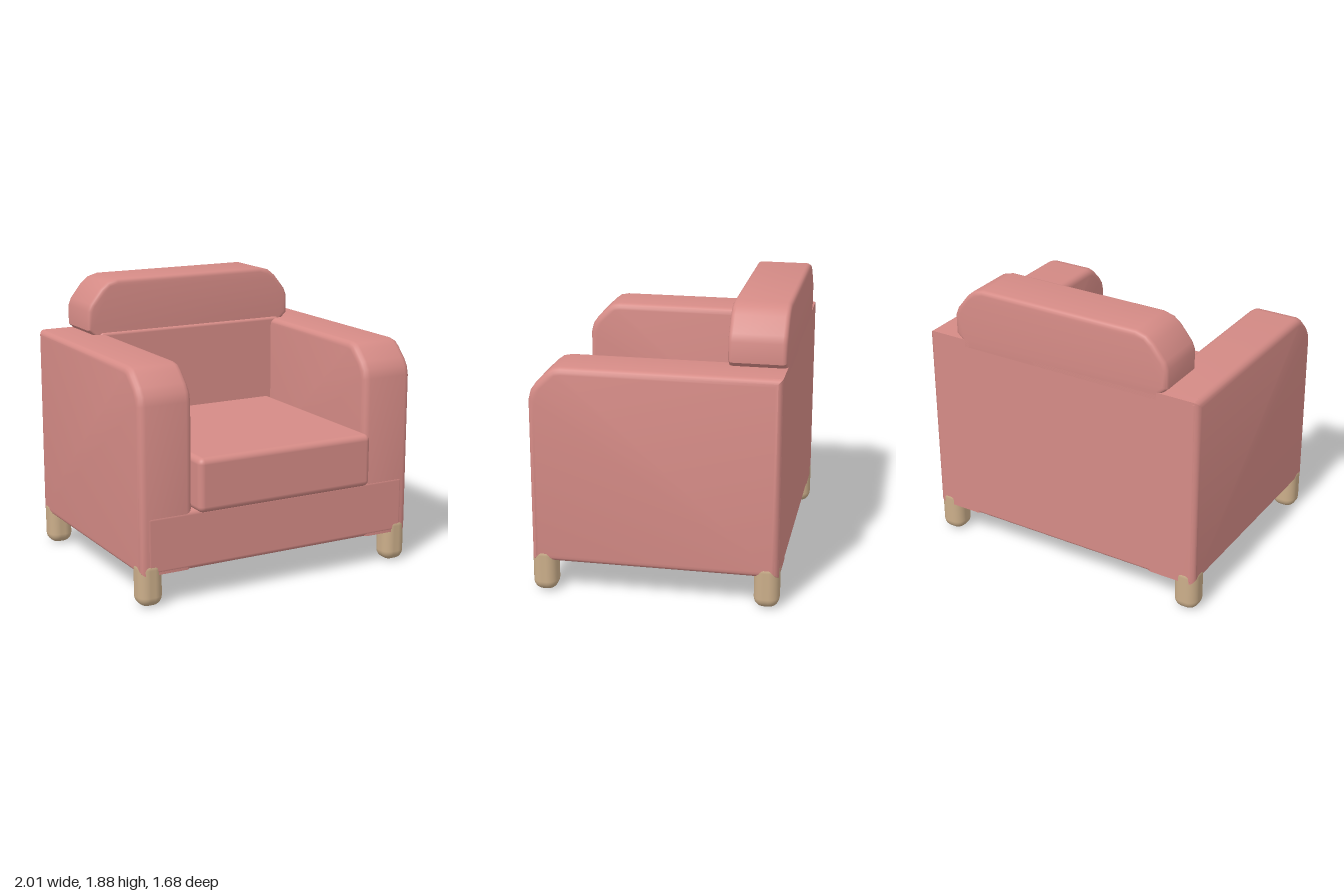
import * as THREE from 'three';
import { toCreasedNormals } from 'three/addons/utils/BufferGeometryUtils.js';
import { RoundedBoxGeometry } from 'three/addons/geometries/RoundedBoxGeometry.js';

export function createModel() {
  const chair = new THREE.Group();
  chair.name = 'armchair';
  const fabric = new THREE.MeshStandardMaterial({ color: 0xd58b86 });
  fabric.name = 'rose fabric';
  const wood = new THREE.MeshStandardMaterial({ color: 0xcbae8a });
  wood.name = 'pale wood';

  const add = (name, geometry, material) => {
    const mesh = new THREE.Mesh(geometry, material);
    mesh.name = name;
    chair.add(mesh);
    return mesh;
  };

  // Rounded box given by its limits on each axis
  const block = (name, [x0, x1], [y0, y1], [z0, z1], radius, material = fabric) => {
    const geometry = new RoundedBoxGeometry(x1 - x0, y1 - y0, z1 - z0, 4, radius);
    geometry.translate((x0 + x1) / 2, (y0 + y1) / 2, (z0 + z1) / 2);
    return add(name, geometry, material);
  };

  // Outline extruded to a total thickness, centred on z, with rounded rims
  const padded = (points, thickness, bevel) => {
    const shape = new THREE.Shape(points.map(([x, y]) => new THREE.Vector2(x, y)));
    const geometry = new THREE.ExtrudeGeometry(shape, {
      depth: thickness - 2 * bevel,
      bevelThickness: bevel,
      bevelSize: bevel,
      bevelOffset: -bevel,
      bevelSegments: 4,
    });
    geometry.translate(0, 0, bevel - thickness / 2);
    return toCreasedNormals(geometry, 0.65);
  };

  // Arms: side outline (z, y) with a sloped, softened front top corner
  const armOutline = [
    [-0.84, 0.21], [0.75, 0.21], [0.75, 1.29], [0.735, 1.35], [0.70, 1.40],
    [0.63, 1.47], [0.59, 1.5], [0.54, 1.51], [-0.84, 1.51],
  ];
  for (const side of [-1, 1]) {
    const arm = padded(armOutline, 0.365, 0.045);
    arm.rotateY(-Math.PI / 2);
    arm.translate(side * 0.8175, 0, 0);
    add(side > 0 ? 'leftArm' : 'rightArm', arm, fabric);
  }

  // Base, back and seat
  block('base', [-0.96, 0.96], [0.208, 0.595], [-0.84, 0.752], 0.03);
  block('backPanel', [-0.98, 0.98], [0.21, 1.51], [-0.84, -0.76], 0.02);
  block('backrest', [-0.7, 0.7], [0.4, 1.52], [-0.83, -0.455], 0.02);
  block('seatCushion', [-0.635, 0.635], [0.59, 0.942], [-0.6, 0.84], 0.04);

  // Headrest: front outline with cut, softened shoulders
  const half = [
    [0.74, 1.43], [0.74, 1.505], [0.78, 1.54], [0.78, 1.67], [0.76, 1.72],
    [0.68, 1.82], [0.63, 1.86], [0.56, 1.88],
  ];
  const outline = [...half, ...half.map(([x, y]) => [-x, y]).reverse()];
  const headrest = padded(outline, 0.37, 0.03);
  headrest.translate(0, 0, -0.655);
  add('headrest', headrest, fabric);

  // Feet: rounded stubs whose tops lap slightly over the body corners
  for (const side of [-1, 1]) {
    for (const [end, z0, z1] of [['front', 0.595, 0.755], ['back', -0.843, -0.68]]) {
      const xs = side > 0 ? [0.838, 1.003] : [-1.003, -0.838];
      block(end + (side > 0 ? 'Left' : 'Right') + 'Foot', xs, [0, 0.31], [z0, z1], 0.065, wood);
    }
  }
  return chair;
}
